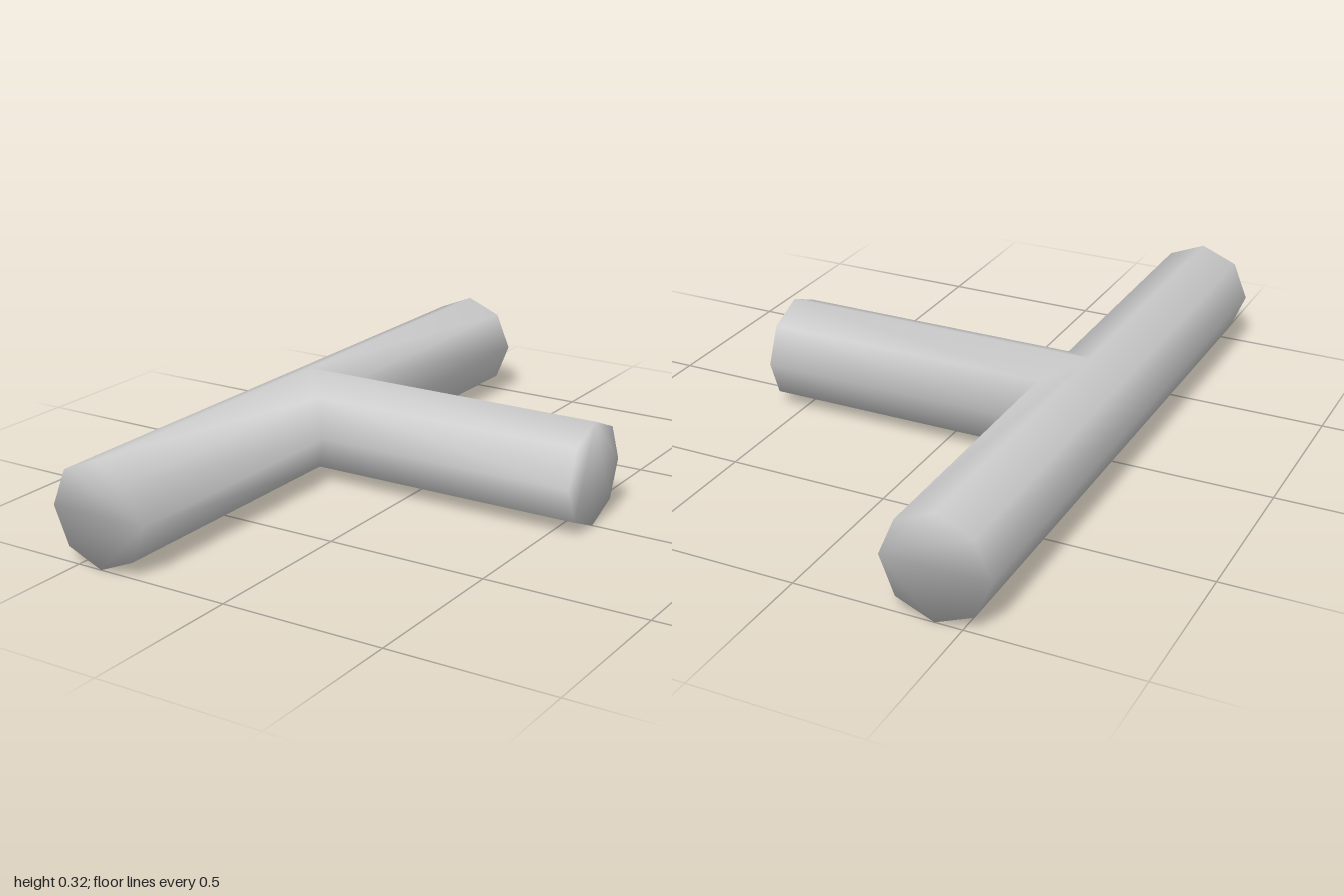
import * as THREE from 'three';
import { mergeVertices } from 'three/addons/utils/BufferGeometryUtils.js';

const SIDES = 8, R = 0.16, AXIS_X = -0.42;

// One capped octagonal arm: inner(c, s) and outer(c, s) give the ring points
// for the cosine and sine of each corner, counter-clockwise seen from outside the cap.
function addArm(out, inner, outer) {
  const ring = (fn) => Array.from({ length: SIDES }, (_, i) => {
    const a = (i / SIDES) * Math.PI * 2;
    return fn(R * Math.cos(a), R * Math.sin(a));
  });
  const a = ring(inner), b = ring(outer);
  for (let i = 0; i < SIDES; i++) {
    const j = (i + 1) % SIDES;
    out.push(...a[i], ...a[j], ...b[j], ...a[i], ...b[j], ...b[i]);
  }
  // End cap
  for (let k = 1; k < SIDES - 1; k++) out.push(...b[0], ...b[k], ...b[k + 1]);
}

export function createModel() {
  const group = new THREE.Group();
  group.name = 'teePipe';
  const pts = [];

  // Front and back arms of the main pipe, mitred where the branch meets them
  for (const d of [1, -1]) {
    addArm(pts,
      (c, s) => [AXIS_X + c, R + d * s, d * Math.max(0, c)],
      (c, s) => [AXIS_X + c, R + d * s, d]);
  }

  // Side branch, starting on the mitre lines
  addArm(pts,
    (c, s) => [AXIS_X + Math.abs(s), R + c, s],
    (c, s) => [0.58, R + c, s]);

  // Weld the arms so the shading runs smoothly over the whole surface
  let geometry = new THREE.BufferGeometry();
  geometry.setAttribute('position', new THREE.Float32BufferAttribute(pts, 3));
  geometry = mergeVertices(geometry, 1e-4);
  geometry.computeVertexNormals();

  const pipe = new THREE.Mesh(geometry, new THREE.MeshStandardMaterial({ color: 0xcccccc }));
  pipe.name = 'pipeBody';
  group.add(pipe);
  return group;
}
